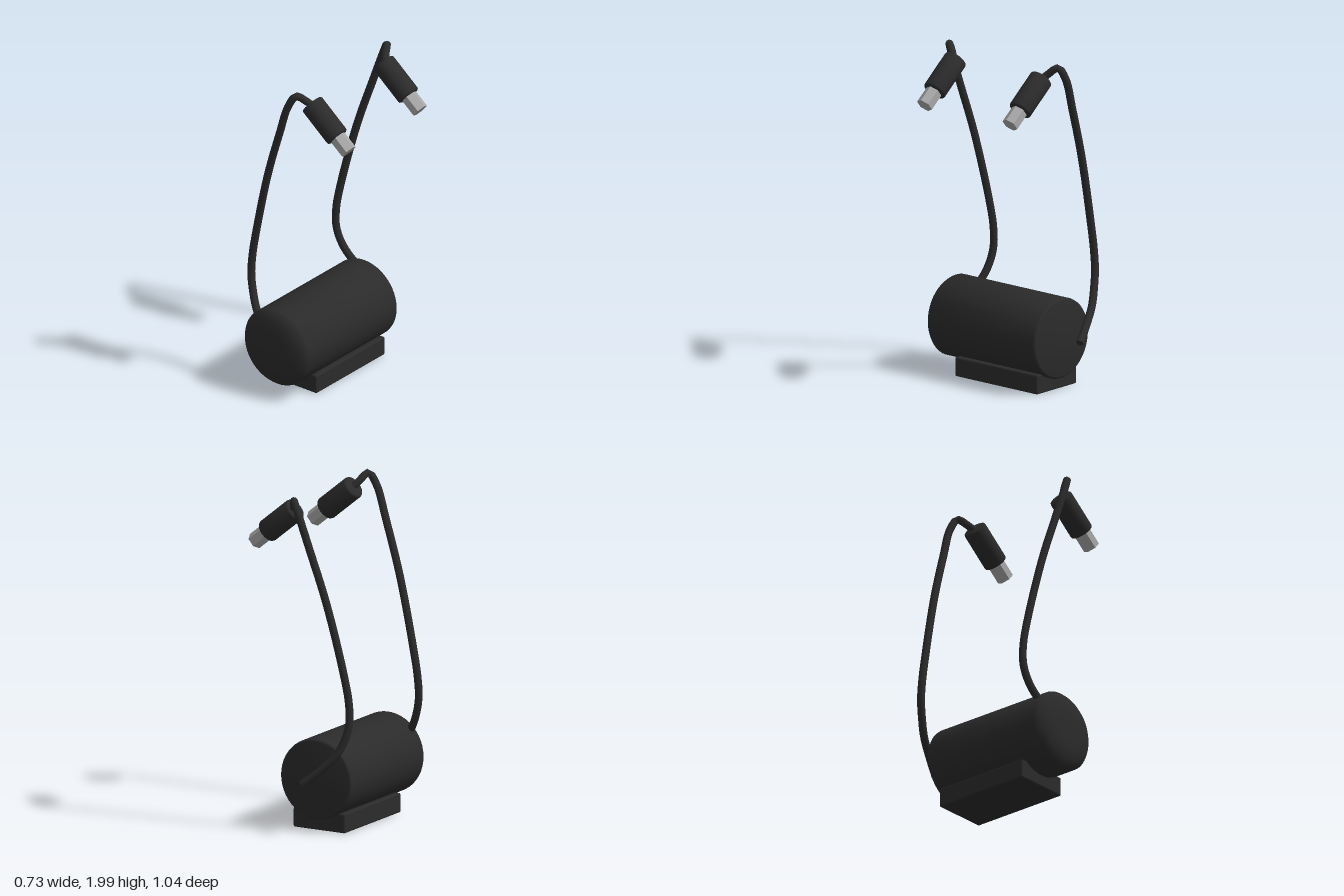
import * as THREE from 'three';
import { toCreasedNormals } from 'three/addons/utils/BufferGeometryUtils.js';
import { RoundedBoxGeometry } from 'three/addons/geometries/RoundedBoxGeometry.js';

export function createModel() {
  const model = new THREE.Group();
  const black = new THREE.MeshStandardMaterial({ color: 0x2b2b2b });
  black.name = 'black plastic';
  const metal = new THREE.MeshStandardMaterial({ color: 0xa8a8a8 });
  metal.name = 'light metal';

  const add = (parent, name, geometry, material) => {
    const mesh = new THREE.Mesh(geometry, material);
    mesh.name = name;
    parent.add(mesh);
    return mesh;
  };
  const lathe = (points, sides) => toCreasedNormals(
    new THREE.LatheGeometry(points.map(p => new THREE.Vector2(...p)), sides), 0.95);

  // Main barrel: flat back with a fine bevel, chamfered and slightly domed front
  const barrel = add(model, 'barrel', lathe([
    [0, -0.355], [0.225, -0.355], [0.232, -0.353], [0.238, -0.347], [0.24, -0.338],
    [0.24, 0.463], [0.225, 0.482], [0.187, 0.512], [0.1, 0.518], [0, 0.52],
  ], 48), black);
  barrel.rotation.x = Math.PI / 2;
  barrel.position.set(-0.095, 0.31, 0);

  // Mounting foot
  add(model, 'foot', new RoundedBoxGeometry(0.35, 0.116, 0.635, 2, 0.01), black)
    .position.set(-0.095, 0.058, 0);

  // Cable centre line for the front side; the back one is its mirror image
  const cablePath = [
    [-0.09, 0.31, 0.5], [-0.19, 0.395, 0.463], [-0.275, 0.485, 0.43],
    [-0.322, 0.58, 0.405], [-0.345, 0.68, 0.392], [-0.34, 0.8, 0.388],
    [-0.31, 0.96, 0.392], [-0.205, 1.38, 0.414], [-0.1, 1.7, 0.433],
    [-0.03, 1.9, 0.441], [0.012, 1.97, 0.42], [0.042, 1.93, 0.37], [0.075, 1.885, 0.33],
  ];
  const plugStart = new THREE.Vector3(0.055, 1.9, 0);
  const plugAxis = new THREE.Vector3(0.777, -0.63, 0).normalize();

  for (const [side, label] of [[1, 'front'], [-1, 'back']]) {
    // Cable with a flat closed end
    const curve = new THREE.CatmullRomCurve3(
      cablePath.map(([x, y, z]) => new THREE.Vector3(x, y, z * side)));
    add(model, label + 'Cable', new THREE.TubeGeometry(curve, 72, 0.023, 10), black);
    const cap = add(model, label + 'CableEnd', new THREE.CircleGeometry(0.023, 10), black);
    cap.position.copy(curve.getPoint(0));
    cap.lookAt(cap.position.clone().sub(curve.getTangent(0)));

    // Plug: bevelled grip with a hexagonal metal tip
    const plug = new THREE.Group();
    plug.name = label + 'Plug';
    plug.position.copy(plugStart).setZ(0.33 * side);
    plug.quaternion.setFromUnitVectors(new THREE.Vector3(0, 1, 0), plugAxis);
    model.add(plug);
    add(plug, 'grip', lathe([
      [0, 0], [0.06, 0], [0.067, 0.004], [0.07, 0.012],
      [0.07, 0.238], [0.067, 0.246], [0.06, 0.25], [0, 0.25],
    ], 28), black);
    const tip = add(plug, 'hexTip',
      new THREE.CylinderGeometry(0.05, 0.05, 0.16, 6).toNonIndexed(), metal);
    tip.geometry.computeVertexNormals();
    tip.rotation.y = Math.PI / 2;
    tip.position.y = 0.277;
  }
  return model;
}
